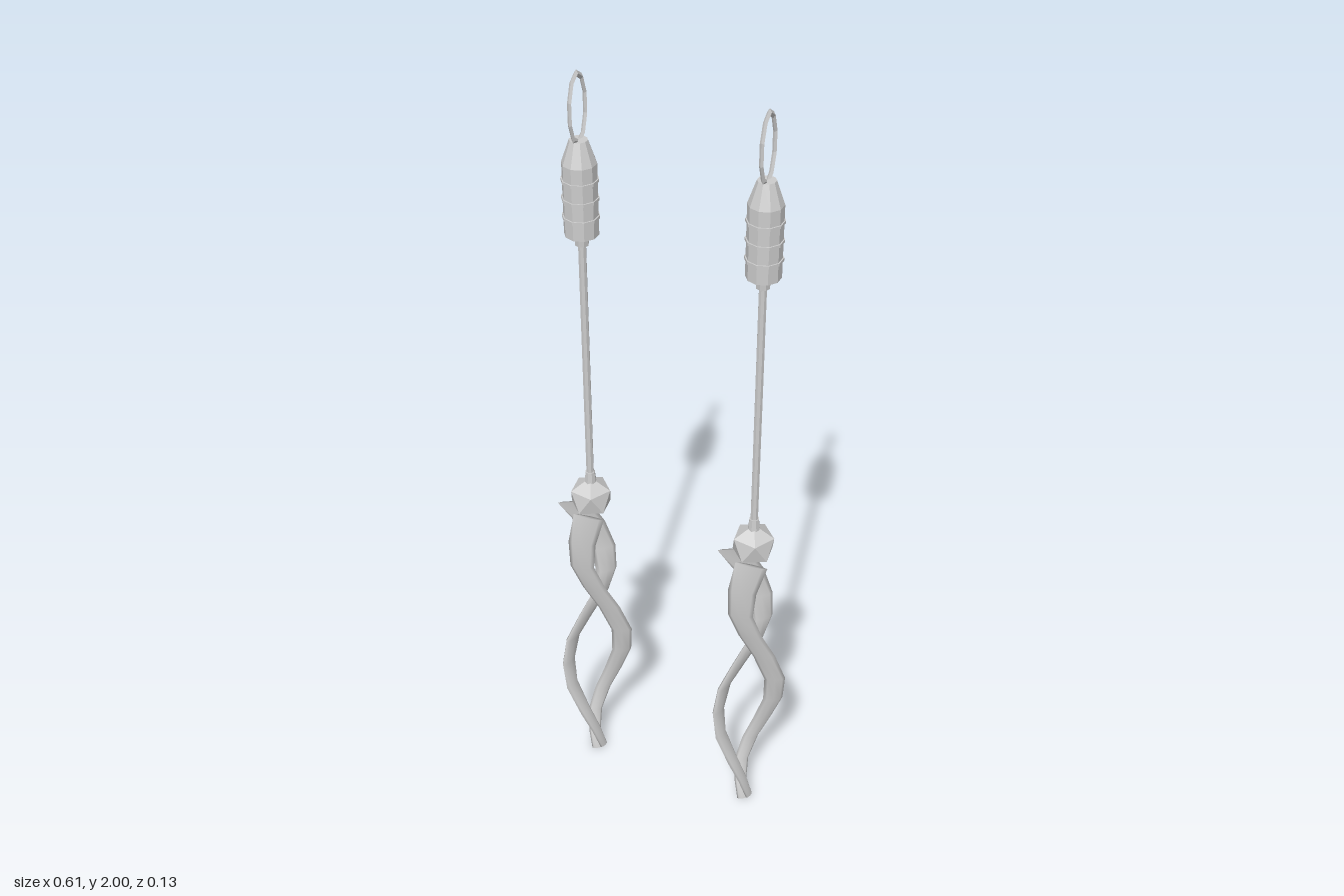
import * as THREE from 'three';

const mat = new THREE.MeshStandardMaterial({ color: 0xcccccc, flatShading: true });
const smoothMat = new THREE.MeshStandardMaterial({ color: 0xcccccc, side: THREE.DoubleSide });

function add(group, name, geometry, y = 0, material = mat) {
  const mesh = new THREE.Mesh(geometry, material);
  mesh.name = name;
  mesh.position.y = y;
  group.add(mesh);
}

// Tapered ribbon: a lens-shaped section swept along a path, its width axis turning from a0 to a1
function ribbonGeometry(points, a0, a1) {
  const curve = new THREE.CatmullRomCurve3(points.map(p => new THREE.Vector3(...p)));
  const steps = 11, sides = 8, pos = [], idx = [];
  for (let i = 0; i <= steps; i++) {
    const t = i / steps;
    const c = curve.getPoint(t);
    const angle = THREE.MathUtils.lerp(a0, a1, Math.min(1, t * 1.7));
    const w = t < 0.2 ? THREE.MathUtils.lerp(0.04, 0.03, t / 0.2)
      : t < 0.6 ? THREE.MathUtils.lerp(0.03, 0.025, (t - 0.2) / 0.4)
      : THREE.MathUtils.lerp(0.025, 0.013, (t - 0.6) / 0.4);
    const h = 0.005 + 0.004 * Math.sin(t * Math.PI);
    for (let k = 0; k < sides; k++) {
      const f = k / sides * Math.PI * 2;
      const u = Math.cos(f) * w, v = Math.sin(f) * h;
      pos.push(c.x + u * Math.cos(angle) + v * Math.sin(angle), c.y,
        c.z - u * Math.sin(angle) + v * Math.cos(angle));
    }
  }
  for (let i = 0; i < steps; i++) {
    for (let k = 0; k < sides; k++) {
      const a = i * sides + k, b = i * sides + (k + 1) % sides;
      idx.push(a, b, a + sides, b, b + sides, a + sides);
    }
  }
  // End caps
  const last = steps * sides;
  for (let k = 1; k < sides - 1; k++) {
    idx.push(0, k + 1, k, last, last + k, last + k + 1);
  }
  const g = new THREE.BufferGeometry();
  g.setAttribute('position', new THREE.Float32BufferAttribute(pos, 3));
  g.setIndex(idx);
  g.computeVertexNormals();
  return g;
}

const frontPath = [
  [0.012, 0.829, 0.038], [-0.008, 0.74, 0.042], [-0.012, 0.66, 0.038], [0.008, 0.58, 0.016],
  [0.036, 0.5, -0.012], [0.059, 0.41, -0.036], [0.053, 0.33, -0.045], [0.026, 0.25, -0.042],
  [0, 0.18, -0.03], [-0.014, 0.11, -0.008], [-0.006, 0.05, 0.014], [0.006, 0, 0.028]];
const backPath = [
  [-0.05, 0.829, 0], [-0.02, 0.75, -0.033], [0.008, 0.67, -0.045], [0.016, 0.6, -0.04],
  [0.003, 0.53, -0.022], [-0.027, 0.46, 0.004], [-0.055, 0.39, 0.026], [-0.065, 0.31, 0.038],
  [-0.055, 0.23, 0.043], [-0.02, 0.14, 0.038], [0.004, 0.07, 0.026], [0.019, 0, 0.012]];

function buildWand() {
  const wand = new THREE.Group();
  wand.name = 'wand';

  // Hanging loop standing in the yz plane
  const loop = new THREE.TorusGeometry(1, 0.1, 4, 10);
  loop.rotateZ(Math.PI / 2).scale(0.037, 0.08, 0.05).rotateY(Math.PI / 2);
  add(wand, 'hangingLoop', loop, 1.912);

  // Grip with tapered top
  const profile = [[0, 1.61], [0.04, 1.61], [0.04, 1.785], [0.021, 1.84], [0, 1.84]];
  add(wand, 'grip', new THREE.LatheGeometry(profile.map(p => new THREE.Vector2(...p)), 10));
  for (const y of [1.745, 1.7, 1.655]) {
    add(wand, 'gripRing', new THREE.CylinderGeometry(0.043, 0.043, 0.007, 10), y);
  }

  // Shaft and its collars
  add(wand, 'upperCollar', new THREE.CylinderGeometry(0.018, 0.016, 0.03, 8), 1.597);
  add(wand, 'shaft', new THREE.CylinderGeometry(0.0095, 0.0095, 0.69, 8), 1.255);
  add(wand, 'lowerCollar', new THREE.CylinderGeometry(0.012, 0.016, 0.04, 8), 0.924);

  // Faceted ball with one corner pointing up
  const ball = new THREE.IcosahedronGeometry(0.057, 0);
  ball.rotateZ(Math.atan(2 / (1 + Math.sqrt(5)))).rotateY(Math.PI / 4);
  add(wand, 'facetedBall', ball, 0.867);

  // Two intertwined ribbons
  add(wand, 'frontRibbon', ribbonGeometry(frontPath, 0.12, 0.6), 0, smoothMat);
  add(wand, 'backRibbon', ribbonGeometry(backPath, 0.5, 1.35), 0, smoothMat);
  return wand;
}

export function createModel() {
  const model = new THREE.Group();
  model.name = 'wandPair';
  for (const x of [-0.22, 0.22]) {
    const wand = buildWand();
    wand.position.x = x;
    model.add(wand);
  }
  return model;
}
